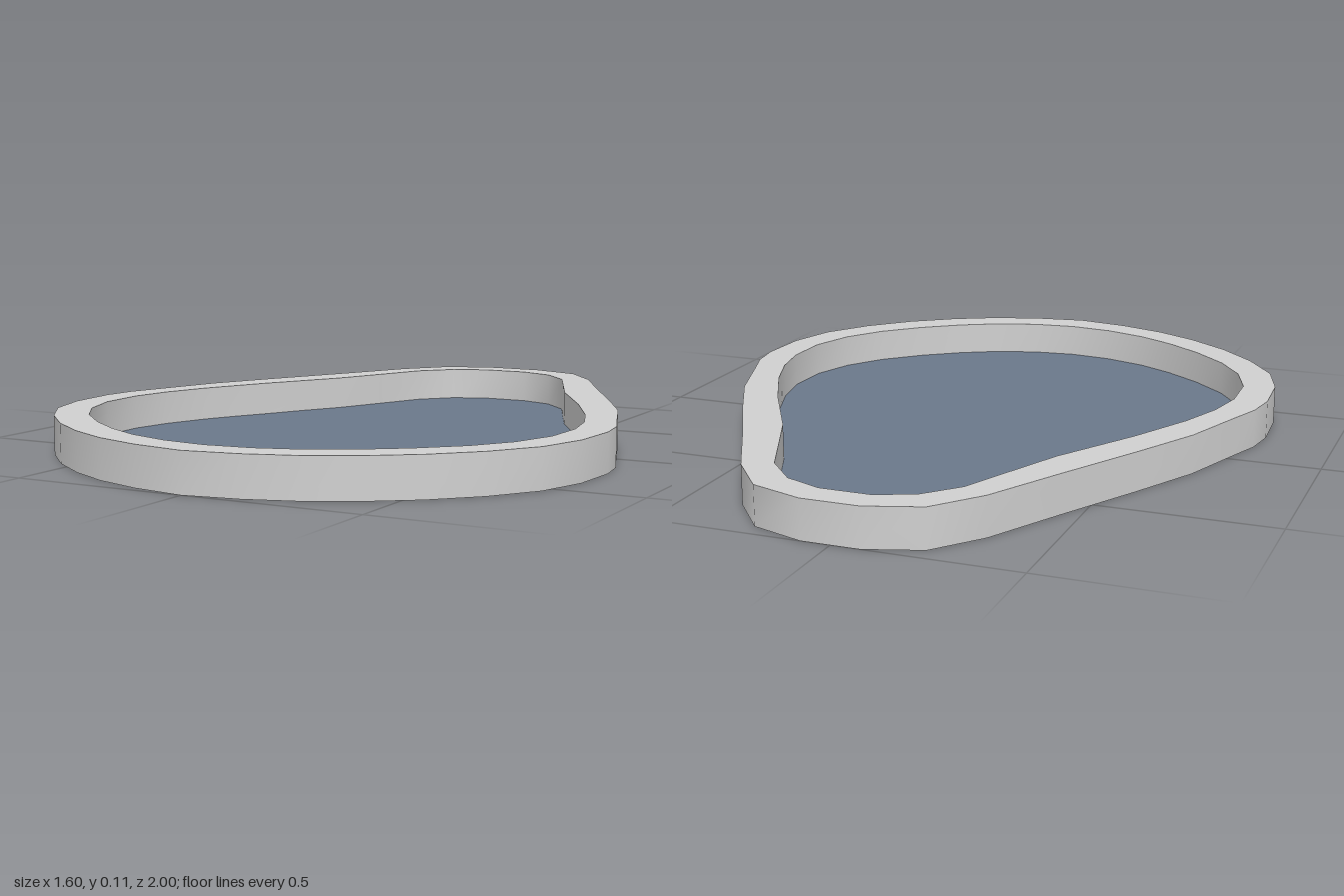
import * as THREE from 'three';

const HEIGHT = 0.11;

// Half outlines (x, z) from the narrow back end to the round front
const outerHalf = [
  [0.08, -1], [0.23, -0.95], [0.335, -0.82], [0.45, -0.6], [0.58, -0.36], [0.68, -0.165],
  [0.745, 0.02], [0.785, 0.13], [0.8, 0.23], [0.79, 0.39], [0.745, 0.535], [0.655, 0.665],
  [0.545, 0.775], [0.42, 0.865], [0.295, 0.93], [0.155, 0.975], [0, 1],
];
const innerHalf = [
  [0.07, -0.915], [0.175, -0.873], [0.26, -0.78], [0.325, -0.63], [0.395, -0.47], [0.535, -0.23],
  [0.63, -0.04], [0.68, 0.095], [0.705, 0.22], [0.7, 0.365], [0.655, 0.495], [0.58, 0.605],
  [0.475, 0.705], [0.365, 0.785], [0.255, 0.845], [0.13, 0.885], [0, 0.9],
];

// Mirror a half outline into a closed loop
const mirrorLoop = (half) => [
  ...half,
  ...half.slice(0, -1).reverse().map(([x, z]) => [-x, z]),
];

// Closed strip of quads joining two loops at given heights
function band(loopA, yA, loopB, yB) {
  const n = loopA.length;
  const positions = [];
  const index = [];
  loopA.forEach(([x, z]) => positions.push(x, yA, z));
  loopB.forEach(([x, z]) => positions.push(x, yB, z));
  for (let i = 0; i < n; i++) {
    const j = (i + 1) % n;
    index.push(i, n + i, j, j, n + i, n + j);
  }
  const geometry = new THREE.BufferGeometry();
  geometry.setAttribute('position', new THREE.Float32BufferAttribute(positions, 3));
  geometry.setIndex(index);
  geometry.computeVertexNormals();
  return geometry;
}

export function createModel() {
  const frameGrey = new THREE.MeshStandardMaterial({ color: 0xd0d0d0, side: THREE.DoubleSide });
  frameGrey.name = 'frame grey';
  const slateBlue = new THREE.MeshStandardMaterial({ color: 0x6b788a, side: THREE.DoubleSide });
  slateBlue.name = 'slate blue';

  const model = new THREE.Group();
  model.name = 'framedPanel';
  const add = (name, geometry, material) => {
    const mesh = new THREE.Mesh(geometry, material);
    mesh.name = name;
    model.add(mesh);
    return mesh;
  };

  // Hollow frame, open underneath
  const outer = mirrorLoop(outerHalf);
  const inner = mirrorLoop(innerHalf);
  add('outerWall', band(outer, 0, outer, HEIGHT), frameGrey);
  add('topRim', band(outer, HEIGHT, inner, HEIGHT), frameGrey);
  add('innerWall', band(inner, HEIGHT, inner, 0), frameGrey);

  // Flat panel near the base, a touch wider than the opening but straighter at the waist
  const panelHalf = innerHalf.map(([x, z], i) => [x * (i === 5 ? 0.985 : 1.01), z * 1.01]);
  const points = mirrorLoop(panelHalf).map(([x, z]) => new THREE.Vector2(x, -z));
  const panel = new THREE.ShapeGeometry(new THREE.Shape(points));
  panel.rotateX(-Math.PI / 2);
  add('panel', panel, slateBlue).position.y = 0.013;

  return model;
}
